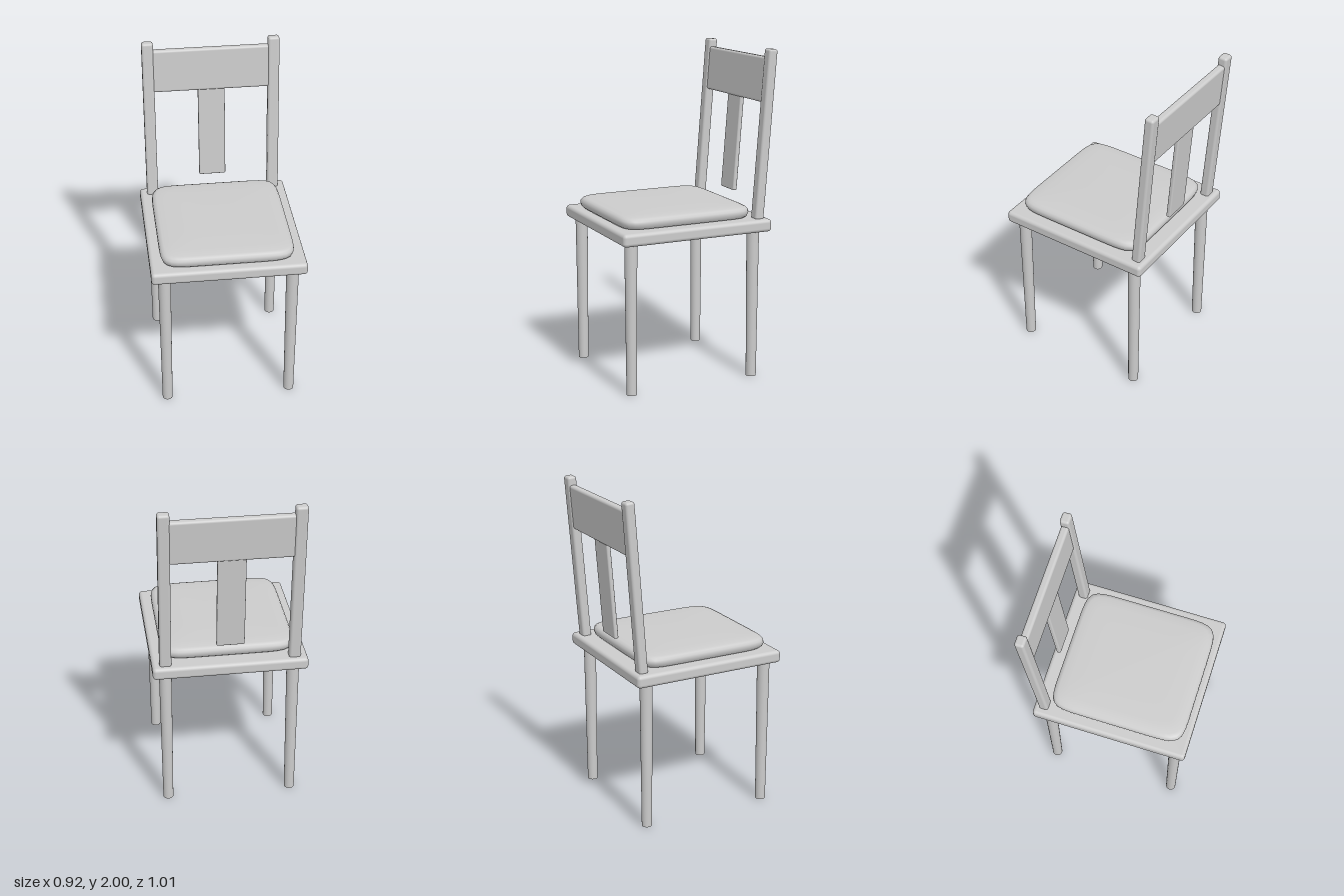
import * as THREE from 'three';
import { RoundedBoxGeometry } from 'three/addons/geometries/RoundedBoxGeometry.js';
import { mergeVertices } from 'three/addons/utils/BufferGeometryUtils.js';

const material = new THREE.MeshStandardMaterial({ color: 0xcccccc });

function addPart(parent, name, geometry, x, y, z) {
  const mesh = new THREE.Mesh(geometry, material);
  mesh.name = name;
  mesh.position.set(x, y, z);
  parent.add(mesh);
  return mesh;
}

// Lathe profile whose round plan is pushed out to a soft-cornered square
function cushionGeometry(halfWidth, halfDepth) {
  const profile = [
    [0, 0], [0.92, 0], [0.96, 0.004], [0.985, 0.014], [1, 0.034], [0.994, 0.05],
    [0.97, 0.063], [0.93, 0.07], [0.8, 0.075], [0.5, 0.079], [0, 0.08],
  ].map(([r, y]) => new THREE.Vector2(r, y));
  let geometry = new THREE.LatheGeometry(profile, 96);
  const p = geometry.attributes.position;
  const n = 9;
  for (let i = 0; i < p.count; i++) {
    const x = p.getX(i), z = p.getZ(i), r = Math.hypot(x, z);
    if (r < 1e-6) continue;
    const k = (Math.abs(x / r) ** n + Math.abs(z / r) ** n) ** (-1 / n);
    p.setX(i, x * k * halfWidth);
    p.setZ(i, z * k * halfDepth);
  }
  geometry.deleteAttribute('uv');
  geometry.deleteAttribute('normal');
  geometry = mergeVertices(geometry, 1e-5);
  geometry.computeVertexNormals();
  return geometry;
}

export function createModel() {
  const chair = new THREE.Group();
  chair.name = 'chair';

  // Seat board and cushion
  addPart(chair, 'seat', new RoundedBoxGeometry(0.924, 0.076, 0.966, 4, 0.022), 0, 0.952, 0.022);
  addPart(chair, 'cushion', cushionGeometry(0.4, 0.42), 0, 0.99, 0.045);

  // Tapered round legs
  const legGeometry = new THREE.CylinderGeometry(0.038, 0.031, 0.93, 24);
  for (const [side, x] of [['left', 0.382], ['right', -0.382]]) {
    addPart(chair, side + 'FrontLeg', legGeometry, x, 0.465, 0.429);
    addPart(chair, side + 'BackLeg', legGeometry, x, 0.465, -0.372);
  }

  // Backrest leaning backwards, built upright about its foot
  const back = new THREE.Group();
  back.name = 'backrest';
  back.position.set(0, 0.98, -0.4);
  back.rotation.x = -0.077;
  chair.add(back);
  const postGeometry = new RoundedBoxGeometry(0.07, 1.022, 0.057, 4, 0.015);
  addPart(back, 'leftPost', postGeometry, 0.384, 0.511, 0);
  addPart(back, 'rightPost', postGeometry, -0.384, 0.511, 0);
  addPart(back, 'topRail', new RoundedBoxGeometry(0.72, 0.27, 0.046, 4, 0.015), 0, 0.837, 0);
  addPart(back, 'splat', new RoundedBoxGeometry(0.166, 0.62, 0.027, 4, 0.009), 0, 0.43, 0);

  return chair;
}
